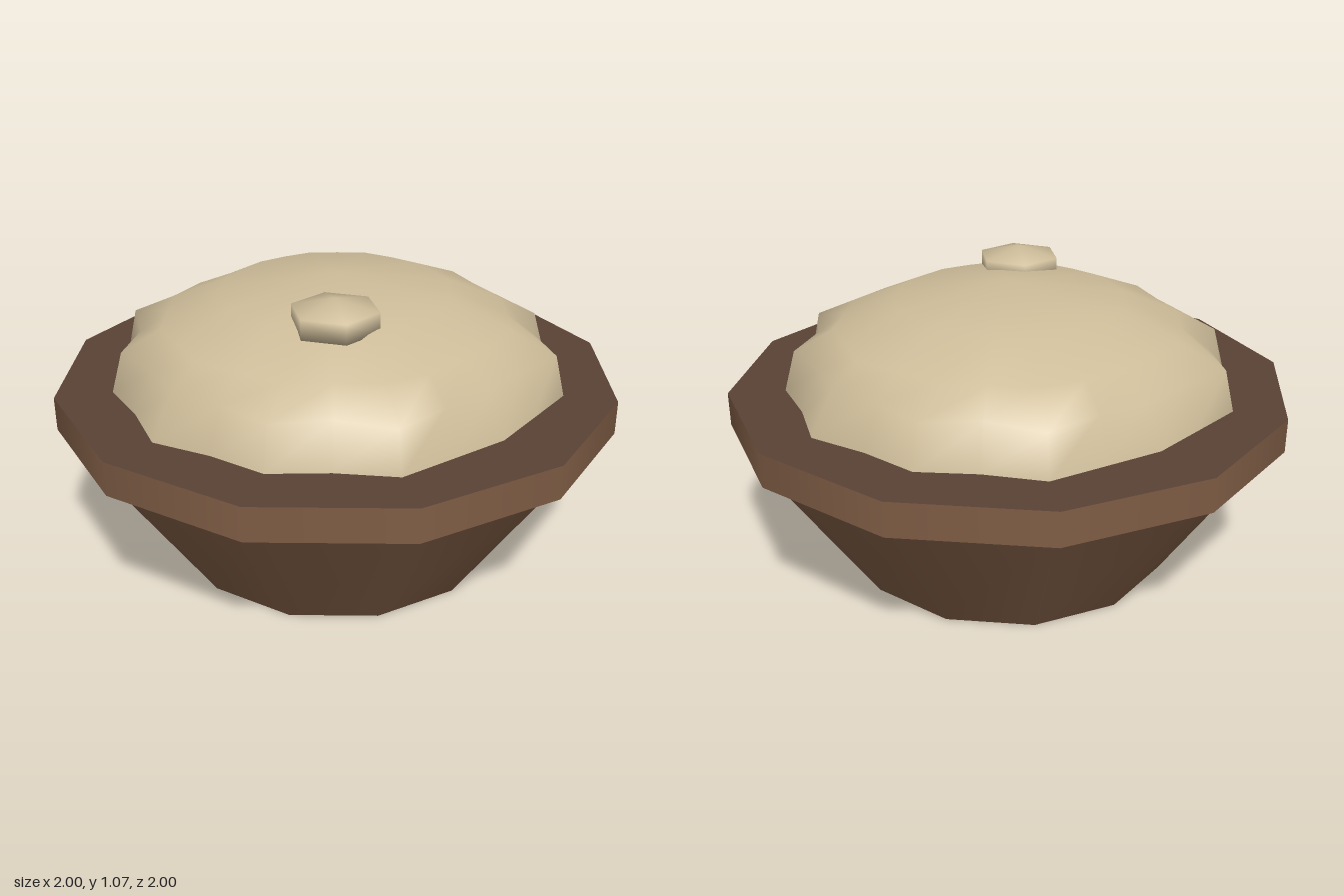
import * as THREE from 'three';

export function createModel() {
  const group = new THREE.Group();
  const mat = (name, color) => {
    const m = new THREE.MeshStandardMaterial({ color });
    m.name = name;
    return m;
  };
  const brown = mat('warm brown', 0x7f5d45);
  const dark = mat('dark brown', 0x5a4236);
  const cream = mat('cream', 0xcdbc99);

  const add = (name, geometry, material, x = 0, y = 0, z = 0) => {
    const mesh = new THREE.Mesh(geometry, material);
    mesh.name = name;
    mesh.position.set(x, y, z);
    group.add(mesh);
    return mesh;
  };

  // Tapered twelve-sided bowl and its rim, with a darker top face
  add('bowl', new THREE.CylinderGeometry(0.96, 0.59, 0.555, 12), [brown, dark, dark], 0, 0.2775, 0);
  add('rim', new THREE.CylinderGeometry(1, 1, 0.12, 12), [brown, dark, brown], 0, 0.61, 0);

  // Lumpy mound: rings of 24 points, with radii for each direction
  // [height, at x axis, at 30 degrees, at 60 degrees, at z axis, in between]
  const rings = [
    [0.6, 0.79, 0.82, 0.82, 0.83, 0.785],
    [0.67, 0.77, 0.815, 0.8, 0.815, 0.765],
    [0.815, 0.7, 0.78, 0.76, 0.73, 0.7],
    [0.89, 0.585, 0.62, 0.62, 0.63, 0.6],
    [0.98, 0.405, 0.41, 0.41, 0.405, 0.4],
  ];
  const sides = 24;
  const points = [];
  const faces = [];
  for (const [y, ...radii] of rings) {
    for (let i = 0; i < sides; i++) {
      const a = (i / sides) * Math.PI * 2;
      const step = i % 12;
      const r = i % 2 ? radii[4] : radii[Math.min(step, 12 - step) / 2];
      points.push(r * Math.cos(a), y, r * Math.sin(a));
    }
  }
  const top = points.length / 3;
  points.push(0, 1.04, 0);
  for (let j = 0; j < rings.length; j++) {
    for (let i = 0; i < sides; i++) {
      const a = j * sides + i;
      const b = j * sides + ((i + 1) % sides);
      if (j === rings.length - 1) faces.push(a, top, b);
      else faces.push(a, a + sides, b, b, a + sides, b + sides);
    }
  }
  const mound = new THREE.BufferGeometry();
  mound.setAttribute('position', new THREE.Float32BufferAttribute(points, 3));
  mound.setIndex(faces);
  mound.computeVertexNormals();
  add('mound', mound, cream);

  // Small six-sided lump resting on the mound
  const lump = new THREE.SphereGeometry(0.175, 6, 3);
  lump.rotateY(Math.PI / 6);
  lump.scale(0.99, 0.4, 1);
  add('lump', lump, cream, 0.235, 1.0, 0.232);

  return group;
}
